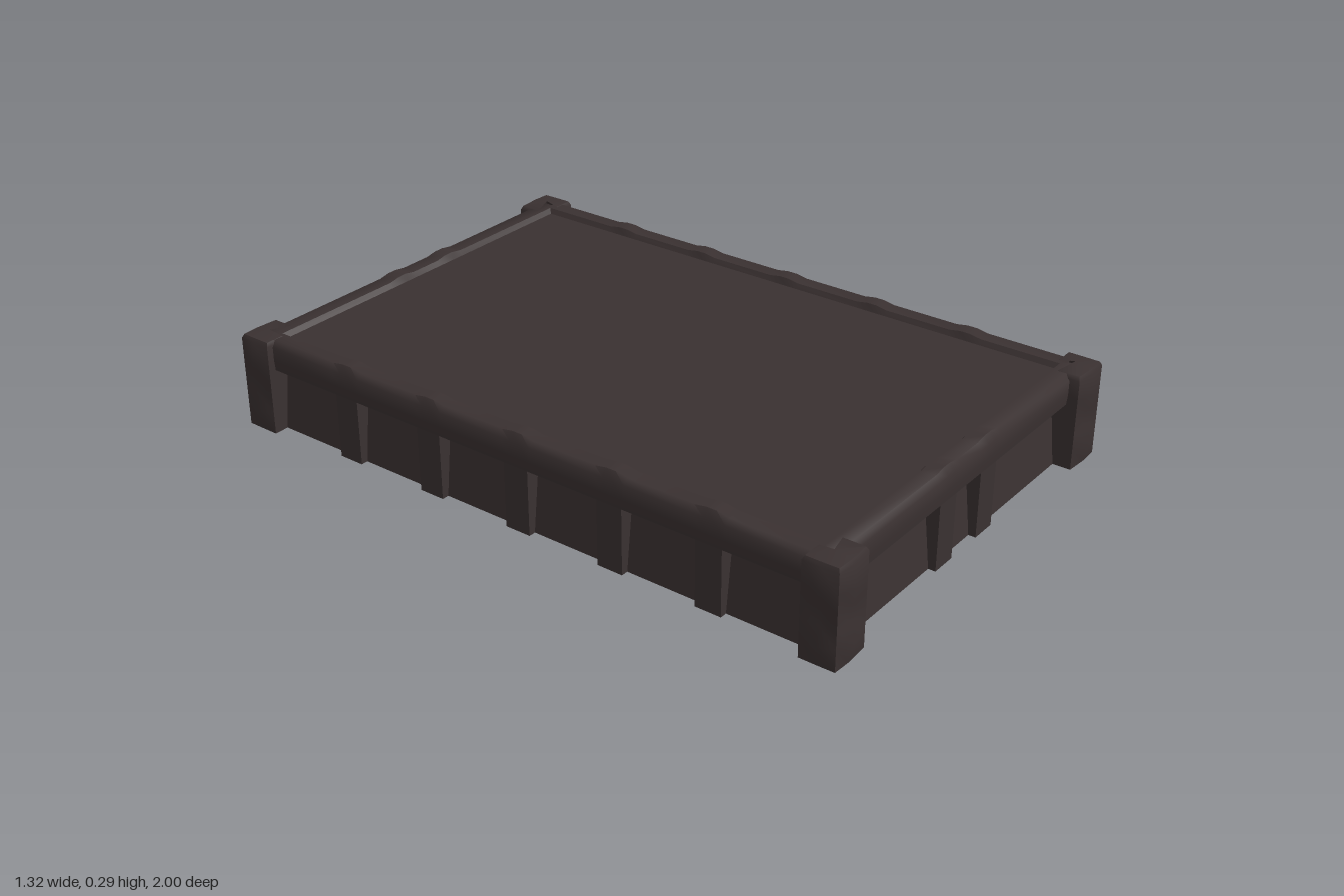
import * as THREE from 'three';
import { toCreasedNormals } from 'three/addons/utils/BufferGeometryUtils.js';

// Surface through rows of [x, y, z] points, all rows the same length
function sheet(rows) {
  const n = rows[0].length, index = [];
  for (let r = 0; r < rows.length - 1; r++) {
    for (let i = 0; i < n - 1; i++) {
      const a = r * n + i, b = a + n;
      index.push(a, a + 1, b, a + 1, b + 1, b);
    }
  }
  const g = new THREE.BufferGeometry();
  g.setAttribute('position', new THREE.Float32BufferAttribute(rows.flat(2), 3));
  g.setIndex(index);
  return toCreasedNormals(g, 0.9);
}

export function createModel() {
  const model = new THREE.Group();
  model.name = 'platform';
  const body = new THREE.MeshStandardMaterial({ color: 0x3a3131, side: THREE.DoubleSide });
  body.name = 'dark brown';

  const add = (parent, name, geometry) => {
    const mesh = new THREE.Mesh(geometry, body);
    mesh.name = name;
    parent.add(mesh);
    return mesh;
  };

  const RAIL_Y = 0.19, RIB = 0.039, DECK_Y = 0.263;

  // One wall facing local +z: rail on top, ribbed sheet below, bays roofed by the rail
  function wall(name, half, out, ribs, turn) {
    const g = new THREE.Group();
    g.name = name;
    const face = out - 0.003, backTop = out - 0.046, backFoot = out - 0.024;

    // rail, raised slightly above each rib
    const stations = [[-half, 0]];
    for (const r of ribs) stations.push([r - 0.05, 0], [r - 0.015, 0.006], [r + 0.015, 0.006], [r + 0.05, 0]);
    stations.push([half, 0]);
    const profile = [[face, RAIL_Y], [out, 0.22], [out, 0.262],
      [out - 0.014, 0.278], [out - 0.056, 0.277], [out - 0.066, DECK_Y]];
    add(g, 'rail', sheet(profile.map(([z, y], k) =>
      stations.map(([x, lift]) => [x, y + (k === 3 || k === 4 ? lift : 0), z]))));

    // ribbed sheet, its bays leaning out towards the foot
    const plan = back => [[-half, back],
      ...ribs.flatMap(r => [[r - RIB, back], [r - RIB, face], [r + RIB, face], [r + RIB, back]]),
      [half, back]];
    add(g, 'ribbedPanel', sheet([[0, backFoot], [RAIL_Y, backTop]].map(([y, back]) =>
      plan(back).map(([x, z]) => [x, y, z]))));

    // bay roofs between the ribs
    const edges = [-half, ...ribs.flatMap(r => [r - RIB, r + RIB]), half];
    for (let i = 0; i < edges.length; i += 2) {
      add(g, 'bayRoof', sheet([backTop, face].map(z =>
        [[edges[i], RAIL_Y, z], [edges[i + 1], RAIL_Y, z]])));
    }
    g.rotation.y = turn;
    model.add(g);
  }

  const endRibs = [-0.1, 0.1], sideRibs = [-0.604, -0.302, 0, 0.302, 0.604];
  wall('frontWall', 0.59, 0.951, endRibs, 0);
  wall('backWall', 0.59, 0.955, endRibs, Math.PI);
  wall('leftWall', 0.91, 0.626, sideRibs, Math.PI / 2);
  wall('rightWall', 0.91, 0.628, sideRibs, -Math.PI / 2);

  // Top panel, sunk below the rail tops and meeting their inner lips
  const deck = add(model, 'topPanel', new THREE.PlaneGeometry(1.126, 1.782));
  deck.rotation.x = -Math.PI / 2;
  deck.position.y = DECK_Y;

  // Corner posts: square bent sheets, straight at the corner, with two low points
  // standing out in the middle of each outer face; low domed cap, open below
  const outline = [[0.52, 0.91], [0.52, 0.98], [0.59, 0.985], [0.647, 0.982],
    [0.648, 0.935], [0.648, 0.88], [0.585, 0.88]];
  const levels = [[0, 0], [0.06, 0.013], [0.11, 0], [0.16, 0], [0.21, 0.013], [0.268, 0]];
  for (const sx of [-1, 1]) {
    for (const sz of [-1, 1]) {
      const ring = (y, bulge, inset = 0) => {
        const pts = outline.map(([x, z], i) => {
          const px = x + (i === 4 ? bulge : 0), pz = z + (i === 2 ? bulge : 0);
          return [sx * (px + (0.59 - px) * inset), y, sz * (pz + (0.93 - pz) * inset)];
        });
        return sx * sz < 0 ? pts.reverse() : pts;
      };
      const rows = levels.map(([y, b]) => ring(y, b));
      rows.push(ring(0.279, 0, 0.1), ring(0.286, 0, 1));
      add(model, 'cornerPost', sheet(rows));
    }
  }
  return model;
}
